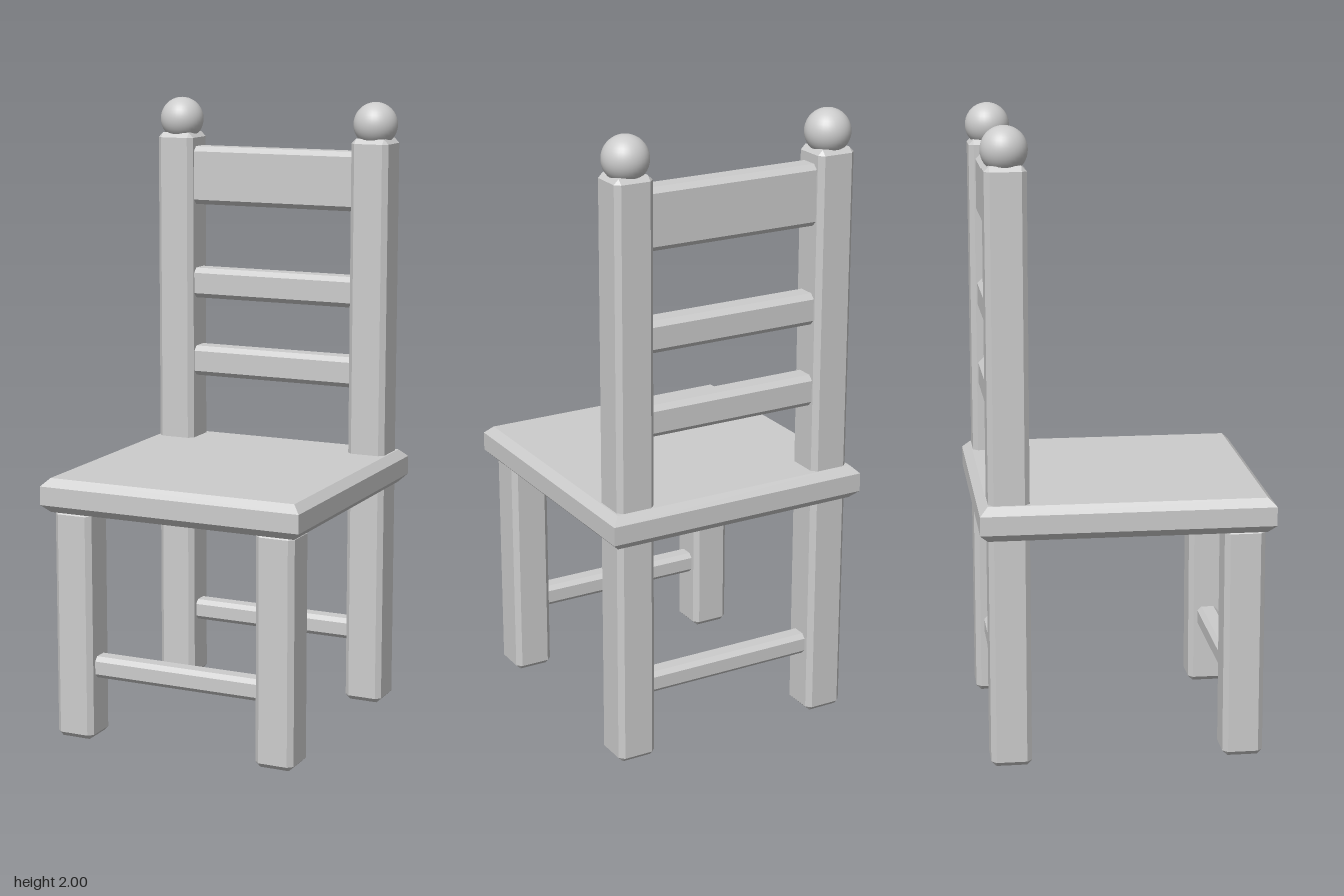
import * as THREE from 'three';
import { ConvexGeometry } from 'three/addons/geometries/ConvexGeometry.js';

// Calls fn for the eight sign combinations of a box's corners
function eachCorner(fn) {
  for (const x of [-1, 1]) for (const y of [-1, 1]) for (const z of [-1, 1]) fn(x, y, z);
}

// Box with every edge chamfered by b
function chamferBox(w, h, d, b) {
  const [X, Y, Z] = [w / 2, h / 2, d / 2];
  const pts = [];
  eachCorner((x, y, z) => pts.push(
    new THREE.Vector3(x * X, y * (Y - b), z * (Z - b)),
    new THREE.Vector3(x * (X - b), y * Y, z * (Z - b)),
    new THREE.Vector3(x * (X - b), y * (Y - b), z * Z)));
  return new ConvexGeometry(pts);
}

// Slab with bevelled top and bottom rims and sharp upright corners
function bevelSlab(w, h, d, b) {
  const [X, Y, Z] = [w / 2, h / 2, d / 2];
  const pts = [];
  eachCorner((x, y, z) => pts.push(
    new THREE.Vector3(x * X, y * (Y - b), z * Z),
    new THREE.Vector3(x * (X - b), y * Y, z * (Z - b))));
  return new ConvexGeometry(pts);
}

export function createModel() {
  const group = new THREE.Group();
  const grey = new THREE.MeshStandardMaterial({ color: 0xcccccc });
  grey.name = 'plainGrey';

  function add(name, geometry, x, y, z) {
    const mesh = new THREE.Mesh(geometry, grey);
    mesh.name = name;
    mesh.position.set(x, y, z);
    group.add(mesh);
  }

  const legX = 0.348, legZ = 0.367, legSize = 0.128, chamfer = 0.016;

  // Seat
  add('seat', bevelSlab(0.886, 0.11, 0.918, 0.025), 0, 0.795, 0);

  // Front legs, tall back posts and their round knobs
  for (const [side, s] of [['left', 1], ['right', -1]]) {
    add(side + 'FrontLeg', chamferBox(legSize, 0.75, legSize, chamfer), s * legX, 0.375, legZ);
    add(side + 'BackPost', chamferBox(legSize, 1.884, legSize, chamfer), s * legX, 0.942, -legZ);
    add(side + 'Knob', new THREE.SphereGeometry(0.072, 32, 20), s * legX, 1.928, -legZ);
  }

  // Back slats: centre height and size
  for (const [name, y, h] of [['topSlat', 1.743, 0.193], ['middleSlat', 1.381, 0.101], ['lowerSlat', 1.115, 0.101]]) {
    add(name, chamferBox(0.62, h, 0.086, 0.016), 0, y, -legZ);
  }

  // Stretchers between the two front legs and the two back posts
  add('frontStretcher', chamferBox(0.62, 0.07, 0.07, 0.014), 0, 0.236, legZ);
  add('backStretcher', chamferBox(0.62, 0.07, 0.07, 0.014), 0, 0.236, -legZ);

  return group;
}
